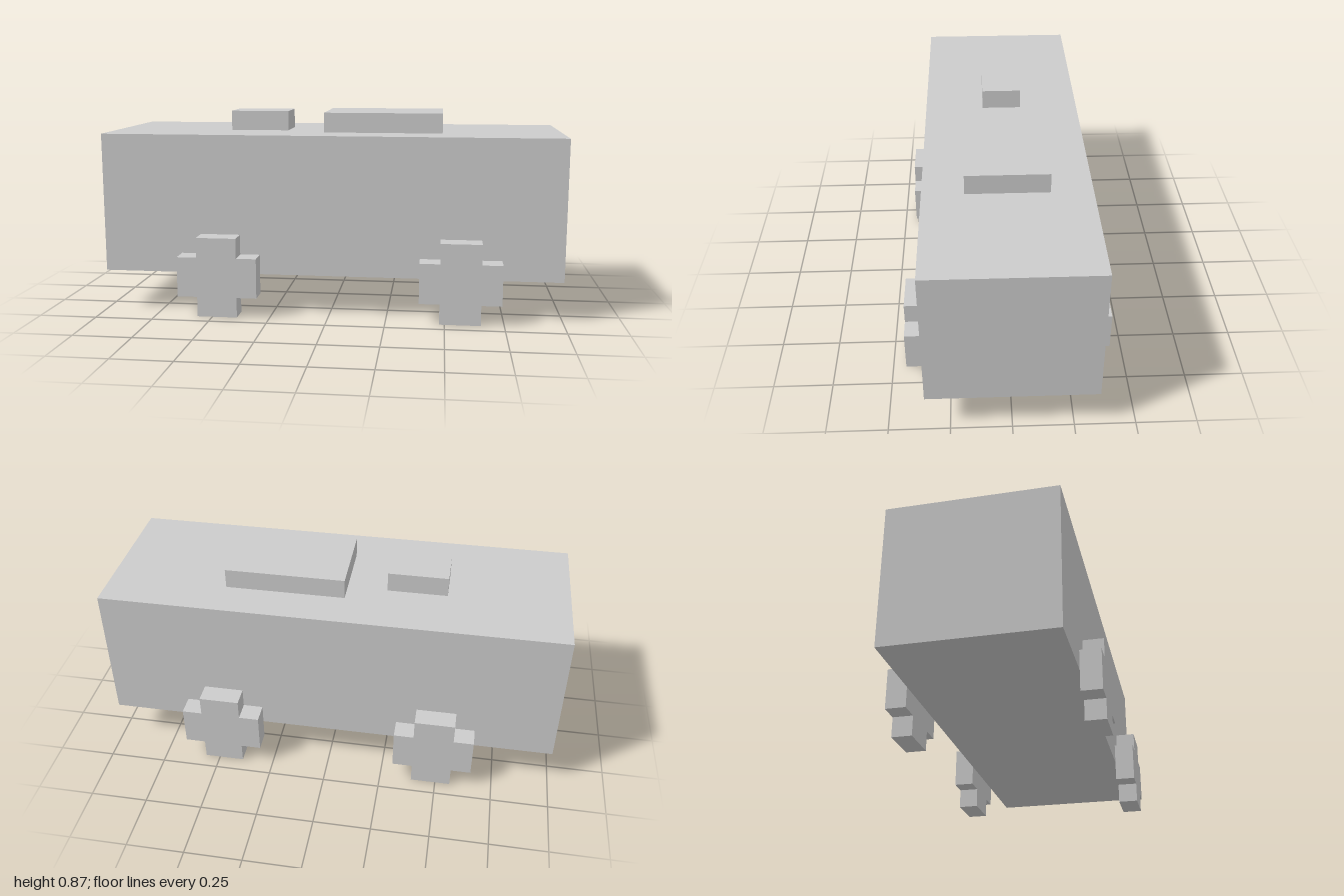
import * as THREE from 'three';

// The model sits on a block grid, 23 blocks long
const U = 2 / 23;

export function createModel() {
  const model = new THREE.Group();
  model.name = 'blockVehicle';
  const material = new THREE.MeshStandardMaterial({ color: 0xcccccc, flatShading: true });

  // Box of w x h x d blocks, centred on x and z, standing on y
  const addBox = (name, w, h, d, x, y, z) => {
    const mesh = new THREE.Mesh(new THREE.BoxGeometry(w * U, h * U, d * U), material);
    mesh.position.set(x * U, (y + h / 2) * U, z * U);
    mesh.name = name;
    model.add(mesh);
  };

  addBox('body', 23, 7, 8, 0, 2, 0);
  addBox('smallRoofHatch', 3, 1, 2, -4, 9, 0);
  addBox('largeRoofHatch', 6, 1, 4, 2.5, 9, 0);

  // Plus-shaped wheel outline, 4 blocks across
  const outline = [[-1, -2], [1, -2], [1, -1], [2, -1], [2, 1], [1, 1],
    [1, 2], [-1, 2], [-1, 1], [-2, 1], [-2, -1], [-1, -1]];
  const shape = new THREE.Shape(outline.map(([x, y]) => new THREE.Vector2(x * U, y * U)));
  const wheelGeometry = new THREE.ExtrudeGeometry(shape, { depth: U, bevelEnabled: false });

  // Wheels: centre x and inner z; one front-side wheel is a block further out
  const wheels = [
    ['frontRightWheel', -5.5, 4], ['frontLeftWheel', 6.5, 4],
    ['backRightWheel', -5.5, -5], ['backLeftWheel', 5.5, -5],
  ];
  for (const [name, x, z] of wheels) {
    const wheel = new THREE.Mesh(wheelGeometry, material);
    wheel.position.set(x * U, 2 * U, z * U);
    wheel.name = name;
    model.add(wheel);
  }
  return model;
}
